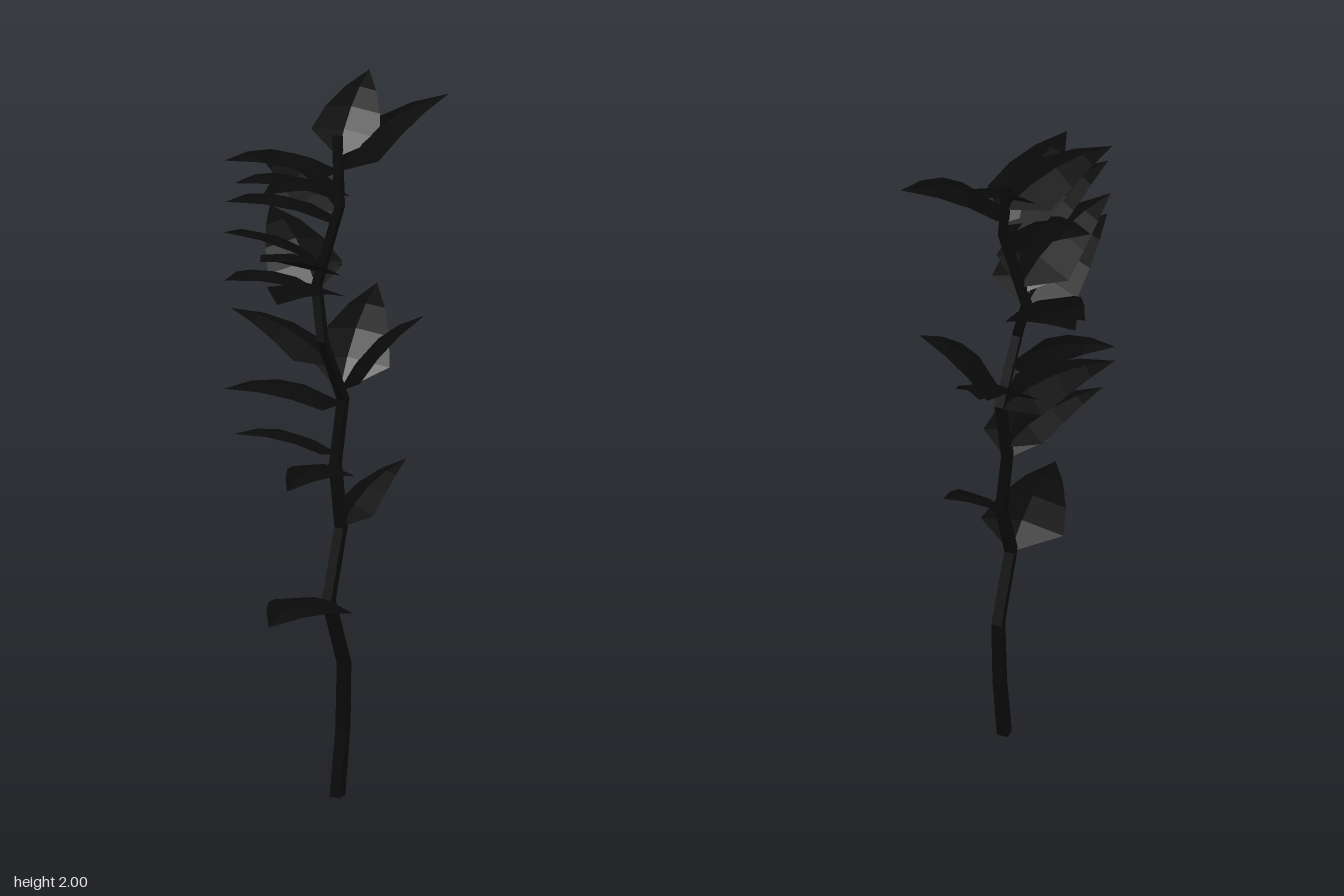
import * as THREE from 'three';

const material = new THREE.MeshStandardMaterial({ color: 0x0a0a0a, flatShading: true, side: THREE.DoubleSide });

// Stem joints, bottom to top
const JOINTS = [
  [0.01, 0, 0.02], [0.03, 0.19, 0.005], [0.03, 0.38, 0.015], [-0.025, 0.58, 0.055],
  [0.025, 0.77, 0.005], [0.01, 0.95, 0], [0.035, 1.13, -0.01], [-0.035, 1.32, 0.033],
  [-0.035, 1.46, -0.025], [0.02, 1.69, 0.005], [0.025, 1.88, -0.03],
].map(p => new THREE.Vector3(...p));

// Leaves: base height on the stem, tip, half width
const LEAVES = [
  [0.58, [-0.27, 0.625, 0.315], 0.118],
  [0.77, [0.23, 0.915, -0.07], 0.075],
  [0.94, [-0.20, 0.985, 0.25], 0.09],
  [0.98, [-0.28, 1.075, 0.02], 0.075],
  [1.12, [-0.295, 1.19, -0.025], 0.1],
  [1.16, [0.24, 1.375, 0.065], 0.1],
  [1.16, [0.20, 1.36, -0.245], 0.115],
  [1.24, [-0.23, 1.36, -0.175], 0.09],
  [1.45, [-0.34, 1.565, 0.13], 0.11],
  [1.45, [-0.08, 1.59, -0.315], 0.11],
  [1.45, [-0.055, 1.56, -0.31], 0.1],
  [1.45, [-0.23, 1.53, 0.26], 0.11],
  [1.50, [-0.26, 1.635, 0.20], 0.11],
  [1.52, [-0.325, 1.68, 0.07], 0.11],
  [1.66, [-0.325, 1.775, 0.09], 0.1],
  [1.68, [-0.145, 1.785, -0.205], 0.1],
  [1.73, [-0.295, 1.82, 0.075], 0.09],
  [1.74, [-0.25, 1.825, 0.195], 0.1],
  [1.79, [-0.31, 1.87, 0.03], 0.1],
  [1.79, [0.34, 1.965, -0.04], 0.1],
  [1.83, [0.165, 1.995, -0.2], 0.1],
];

// Point on the stem at a given height
function stemAt(y) {
  const i = Math.max(1, JOINTS.findIndex(p => p.y >= y));
  const a = JOINTS[i - 1], b = JOINTS[i];
  return a.clone().lerp(b, (y - a.y) / (b.y - a.y));
}

// Square, tapering stem whose rings follow the joints
function makeStem() {
  const n = JOINTS.length - 1;
  const geo = new THREE.CylinderGeometry(1, 1, n, 4, n);
  const pos = geo.attributes.position;
  for (let i = 0; i < pos.count; i++) {
    const k = Math.round(pos.getY(i) + n / 2), j = JOINTS[k];
    const r = 0.022 - 0.007 * k / n;
    pos.setXYZ(i, j.x + pos.getX(i) * r, j.y, j.z + pos.getZ(i) * r);
  }
  geo.computeVertexNormals();
  const mesh = new THREE.Mesh(geo, material);
  mesh.name = 'stem';
  return mesh;
}

// Arched leaf with a raised midrib, broad near the base and pointed at the tip
function makeLeaf(base, tip, halfWidth) {
  const profile = [0.06, 1, 0.79, 0.45, 0];
  const chord = tip.clone().sub(base), length = chord.length();
  const side = chord.clone().cross(new THREE.Vector3(0, 1, 0)).normalize();
  const normal = side.clone().cross(chord).normalize();
  const geo = new THREE.PlaneGeometry(2, 1, 2, 4);
  const pos = geo.attributes.position;
  for (let i = 0; i < pos.count; i++) {
    const t = pos.getY(i) + 0.5;
    const w = pos.getX(i) * halfWidth * profile[Math.round(t * 4)];
    const lift = 0.42 * length * t * (1 - t) - 0.22 * Math.abs(w);
    const p = base.clone().addScaledVector(chord, t).addScaledVector(side, w).addScaledVector(normal, lift);
    pos.setXYZ(i, p.x, p.y, p.z);
  }
  geo.computeVertexNormals();
  const mesh = new THREE.Mesh(geo, material);
  mesh.name = 'leaf';
  return mesh;
}

export function createModel() {
  const plant = new THREE.Group();
  plant.name = 'plant';
  const foliage = new THREE.Group();
  foliage.name = 'leaves';
  for (const [y, tip, w] of LEAVES) foliage.add(makeLeaf(stemAt(y), new THREE.Vector3(...tip), w));
  plant.add(makeStem(), foliage);
  return plant;
}
